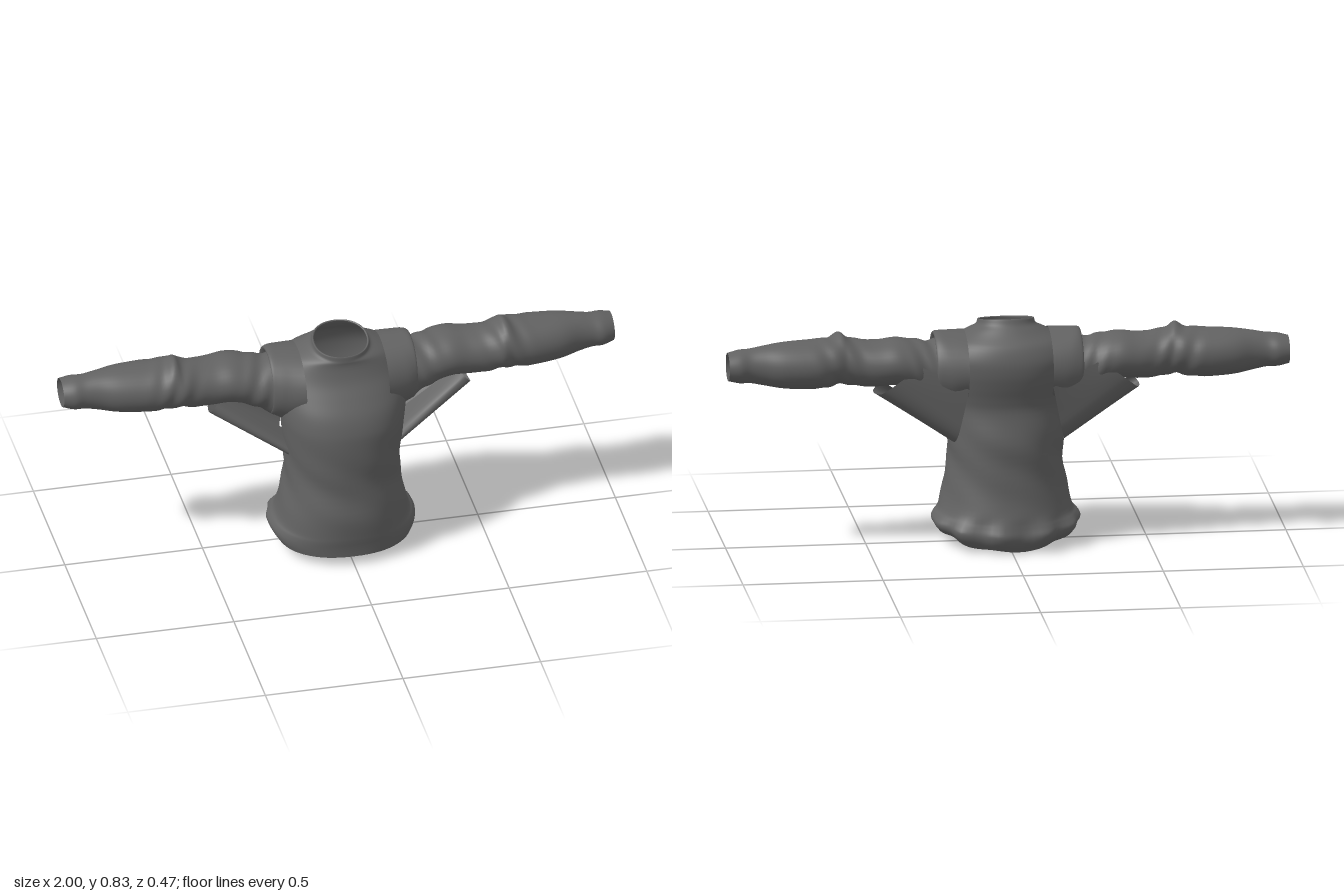
import * as THREE from 'three';

const cloth = new THREE.MeshStandardMaterial({ color: 0x626262, side: THREE.DoubleSide });
cloth.name = 'dark grey cloth';

// Smooth interpolation through rows of numbers, t from 0 to 1
function sample(rows, t) {
  const f = Math.min(Math.max(t, 0), 1) * (rows.length - 1);
  const i = Math.min(Math.floor(f), rows.length - 2), k = f - i;
  const at = n => rows[Math.min(Math.max(n, 0), rows.length - 1)];
  return rows[i].map((b, n) => {
    const a = at(i - 1)[n], c = at(i + 1)[n], d = at(i + 2)[n];
    return b + 0.5 * k * (c - a + k * (2 * a - 5 * b + 4 * c - d + k * (3 * (b - c) + d - a)));
  });
}

// Open sheet or tube from point(u, v); flip reverses the facing
function sheet(name, nu, nv, closed, point, flip = false) {
  const pos = [], index = [], cols = closed ? nu : nu + 1;
  for (let j = 0; j <= nv; j++)
    for (let i = 0; i < cols; i++) pos.push(...point(i / nu, j / nv));
  for (let j = 0; j < nv; j++)
    for (let i = 0; i < nu; i++) {
      const a = j * cols + i, b = j * cols + (i + 1) % cols;
      const c = b + cols, d = a + cols;
      if (flip) index.push(a, c, b, a, d, c);
      else index.push(a, b, c, a, c, d);
    }
  const g = new THREE.BufferGeometry();
  g.setAttribute('position', new THREE.Float32BufferAttribute(pos, 3));
  g.setIndex(index);
  g.computeVertexNormals();
  const mesh = new THREE.Mesh(g, cloth);
  mesh.name = name;
  return mesh;
}

// Torso rings: y, half width, front z, back z
const TORSO = [
  [0.00, 0.250, 0.230, -0.195], [0.03, 0.262, 0.231, -0.215], [0.06, 0.264, 0.233, -0.222],
  [0.09, 0.254, 0.236, -0.212], [0.12, 0.240, 0.238, -0.203], [0.20, 0.222, 0.240, -0.186],
  [0.30, 0.205, 0.226, -0.178], [0.40, 0.208, 0.229, -0.178], [0.50, 0.218, 0.228, -0.160],
  [0.55, 0.225, 0.220, -0.166], [0.60, 0.230, 0.200, -0.180], [0.65, 0.232, 0.165, -0.190],
  [0.70, 0.228, 0.128, -0.188], [0.75, 0.195, 0.107, -0.166], [0.78, 0.140, 0.105, -0.125],
  [0.797, 0.107, 0.104, -0.102], [0.815, 0.100, 0.102, -0.092], [0.813, 0.094, 0.097, -0.088],
];

// Sleeve rings: x, bottom y, top y, back z, front z
const SLEEVE = [
  [0.19, 0.500, 0.750, -0.150, 0.105], [0.24, 0.528, 0.755, -0.145, 0.092],
  [0.28, 0.555, 0.748, -0.142, 0.080], [0.34, 0.583, 0.758, -0.153, 0.072],
  [0.40, 0.600, 0.766, -0.156, 0.068], [0.46, 0.596, 0.760, -0.148, 0.060],
  [0.52, 0.596, 0.762, -0.137, 0.060], [0.57, 0.604, 0.773, -0.136, 0.066],
  [0.60, 0.606, 0.788, -0.138, 0.066], [0.64, 0.600, 0.774, -0.146, 0.060],
  [0.70, 0.595, 0.770, -0.155, 0.056], [0.80, 0.601, 0.765, -0.146, 0.038],
  [0.87, 0.614, 0.756, -0.126, 0.014], [0.92, 0.624, 0.747, -0.120, 0.006],
  [0.96, 0.626, 0.744, -0.128, 0.008], [1.00, 0.636, 0.735, -0.124, -0.006],
];

// Rolled cloth around the armhole, same columns as the sleeve
const ARMHOLE = [
  [0.15, 0.530, 0.780, -0.178, 0.135], [0.20, 0.520, 0.782, -0.172, 0.118],
  [0.245, 0.532, 0.782, -0.160, 0.102], [0.262, 0.545, 0.774, -0.148, 0.092],
  [0.250, 0.555, 0.755, -0.135, 0.080],
];

// Underarm gusset sections at the torso and at the sleeve, from the back round to the front lip
const GUSSET_TORSO = [
  [0.15, 0.60, -0.165], [0.17, 0.50, -0.152], [0.185, 0.43, -0.140], [0.195, 0.395, -0.105],
  [0.20, 0.385, -0.03], [0.20, 0.392, 0.065], [0.20, 0.425, 0.062], [0.19, 0.435, -0.04],
];
const GUSSET_SLEEVE = [
  [0.31, 0.68, -0.145], [0.38, 0.64, -0.143], [0.425, 0.605, -0.132], [0.455, 0.578, -0.105],
  [0.47, 0.565, -0.05], [0.473, 0.567, 0.0], [0.45, 0.592, 0.0], [0.435, 0.603, -0.05],
];

// Height of the hem around the body: level in front, raised at the sides, drooping behind
const HEM = [[0.040], [0.040], [0.045], [0.066], [0.050], [0.022], [0.006]];

function torsoPoint(u, v) {
  const a = u * Math.PI * 2, s = Math.sin(a), c = Math.cos(a);
  let [y, w, front, back] = sample(TORSO, v);
  const mid = (front + back) / 2;
  const low = THREE.MathUtils.clamp(1 - y / 0.13, 0, 1);
  const behind = Math.max(0, -c);
  // gathered ruffle along the back hem, faint creases at the waist
  const ruffle = 0.010 * Math.sin(a * 11) * behind * Math.min(1, low * 2);
  const waist = Math.exp(-(((y - 0.32) / 0.13) ** 2));
  const crease = 0.003 * waist * Math.sin(a * 5 + y * 45);
  const k = 1 + (ruffle + crease) / 0.2;
  const x = w * k * Math.sign(s) * Math.abs(s) ** 0.92;
  const z = mid + (front - mid) * k * Math.sign(c) * Math.abs(c) ** 0.92;
  const hem = sample(HEM, Math.acos(THREE.MathUtils.clamp(c, -1, 1)) / Math.PI)[0];
  y += low * (hem + 0.006 * behind * Math.sin(a * 9));
  // the collar leans up towards the back
  y -= 0.2 * z * THREE.MathUtils.smoothstep(y, 0.76, 0.81);
  return [x, y, z];
}

// Elliptical tube along x, with optional creases
function tubePoint(rows, side, crease) {
  return (u, v) => {
    const a = -u * Math.PI * 2;
    const [x, y0, y1, z0, z1] = sample(rows, v);
    const elbow = Math.exp(-(((x - 0.6) / 0.07) ** 2)) + Math.exp(-(((x - 0.3) / 0.05) ** 2));
    const k = 1 + crease * elbow * Math.sin(a * 3 + x * 90);
    return [side * x, (y0 + y1) / 2 + (y1 - y0) / 2 * k * Math.sin(a),
      (z0 + z1) / 2 + (z1 - z0) / 2 * k * Math.cos(a)];
  };
}

export function createModel() {
  const shirt = new THREE.Group();
  shirt.name = 'longSleevedShirt';
  shirt.add(sheet('torso', 72, 68, true, torsoPoint));

  for (const side of [1, -1]) {
    const label = side > 0 ? 'left' : 'right';
    const arm = new THREE.Group();
    arm.name = label + 'Arm';
    arm.add(sheet(label + 'Sleeve', 36, 75, true, tubePoint(SLEEVE, side, 0.035), side < 0));
    arm.add(sheet(label + 'ArmholeFold', 36, 16, true, tubePoint(ARMHOLE, side, 0.02), side < 0));
    // cloth web stretched between the flank and the sleeve
    arm.add(sheet(label + 'UnderarmGusset', 12, 28, false, (u, v) => {
      const a = sample(GUSSET_TORSO, v), b = sample(GUSSET_SLEEVE, v);
      const p = a.map((n, i) => n + (b[i] - n) * u);
      return [side * p[0], p[1], p[2]];
    }, side > 0));
    shirt.add(arm);
  }
  return shirt;
}
